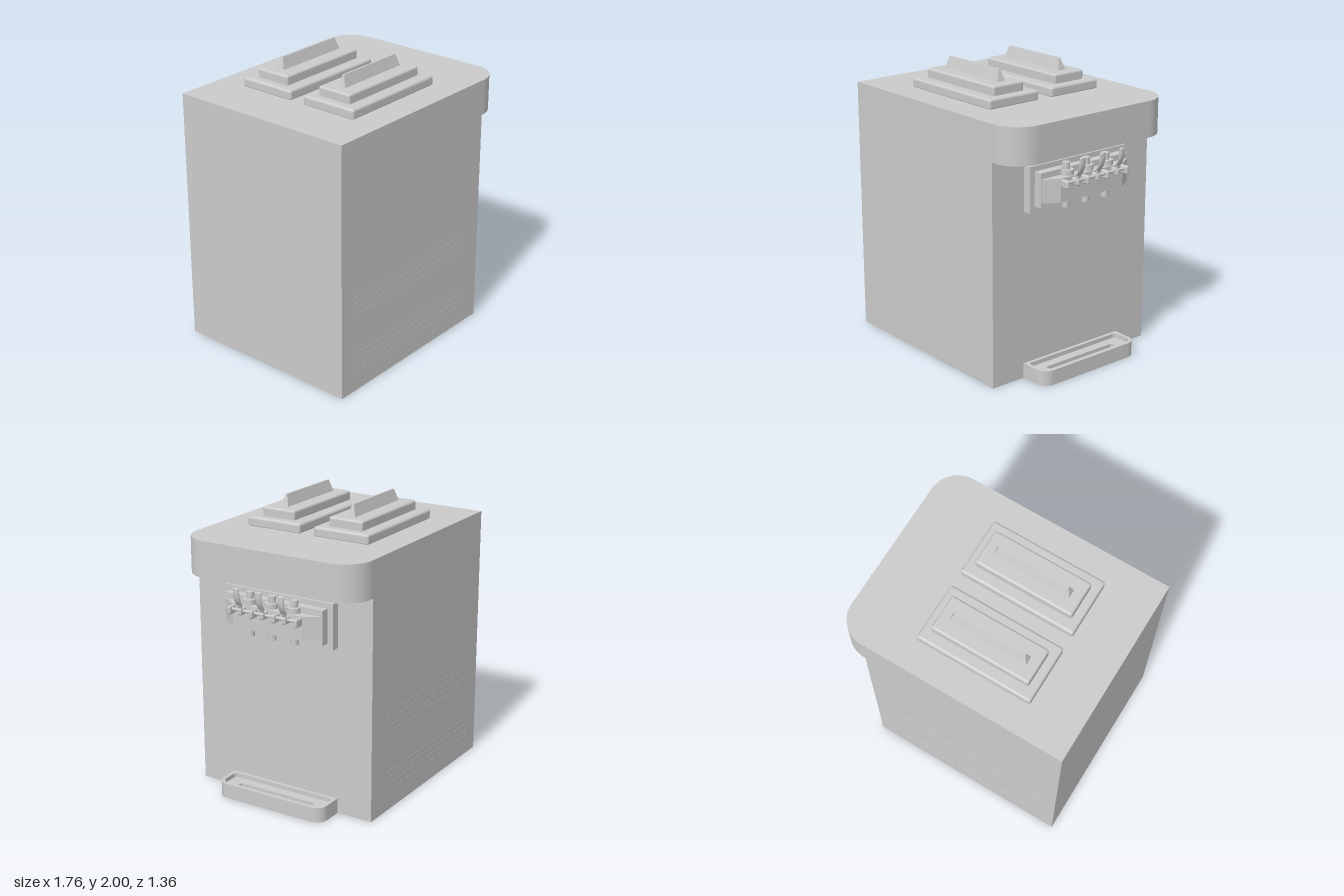
import * as THREE from 'three';
import { RoundedBoxGeometry } from 'three/addons/geometries/RoundedBoxGeometry.js';

const mat = new THREE.MeshStandardMaterial({ color: 0xcccccc });

function add(parent, name, geo, x = 0, y = 0, z = 0) {
  const m = new THREE.Mesh(geo, mat);
  m.name = name;
  m.position.set(x, y, z);
  parent.add(m);
  return m;
}

// Box given by its limits on each axis
function box(parent, name, x0, x1, y0, y1, z0, z1) {
  return add(parent, name, new THREE.BoxGeometry(x1 - x0, y1 - y0, z1 - z0),
    (x0 + x1) / 2, (y0 + y1) / 2, (z0 + z1) / 2);
}

// Plan outline with rounded corners at the +x end, and at the -x end if rBack > 0
function plan(x0, x1, half, r, rBack = 0, C = THREE.Shape) {
  const s = new C();
  s.moveTo(x0 + rBack, -half);
  s.lineTo(x1 - r, -half);
  s.absarc(x1 - r, -half + r, r, -Math.PI / 2, 0);
  s.lineTo(x1, half - r);
  s.absarc(x1 - r, half - r, r, 0, Math.PI / 2);
  s.lineTo(x0 + rBack, half);
  if (rBack) {
    s.absarc(x0 + rBack, half - rBack, rBack, Math.PI / 2, Math.PI);
    s.absarc(x0 + rBack, -half + rBack, rBack, Math.PI, Math.PI * 1.5);
  } else s.lineTo(x0, -half);
  s.closePath();
  return s;
}

// Extrude a plan outline upward from y0 to y1
function slab(parent, name, shape, y0, y1) {
  const g = new THREE.ExtrudeGeometry(shape, { depth: y1 - y0, bevelEnabled: false, curveSegments: 16 });
  g.rotateX(-Math.PI / 2);
  return add(parent, name, g, 0, y0, 0);
}

export function createModel() {
  const model = new THREE.Group();
  model.name = 'softServeMachine';

  // Cabinet and overhanging head
  box(model, 'cabinet', -0.88, 0.59, 0, 1.54, -0.68, 0.68);
  slab(model, 'head', plan(-0.88, 0.8, 0.68, 0.2), 1.54, 1.79);

  // Fine ventilation slits, almost flush with both long sides
  const vents = new THREE.Group();
  vents.name = 'vents';
  model.add(vents);
  for (const side of [-1, 1])
    for (const base of [0.14, 0.56])
      for (let row = 0; row < 4; row++)
        for (let col = 0; col < 5; col++) {
          const x = -0.76 + col * 0.235, y = base + row * 0.046, z = side * 0.68;
          box(vents, 'ventSlit', x, x + 0.215, y, y + 0.006, z - 0.001, z + 0.001);
        }

  // Two hopper lids with tapered grips
  for (const z of [-0.263, 0.263]) {
    const lid = new THREE.Group();
    lid.name = 'hopperLid';
    lid.position.set(-0.105, 0, z);
    model.add(lid);
    add(lid, 'lidBase', new RoundedBoxGeometry(0.835, 0.075, 0.418, 3, 0.018), 0, 1.8175, 0);
    add(lid, 'lidStep', new RoundedBoxGeometry(0.715, 0.08, 0.258, 3, 0.016), 0, 1.88, 0);
    const grip = new THREE.BoxGeometry(0.57, 0.085, 0.064);
    const p = grip.attributes.position;
    for (let i = 0; i < p.count; i++)
      if (p.getY(i) > 0) p.setXYZ(i, p.getX(i) * 0.91, p.getY(i), p.getZ(i) * 0.2);
    grip.computeVertexNormals();
    add(lid, 'lidGrip', grip, 0, 1.9575, 0);
  }

  // Dispenser block: stepped plates and a front with slanted ends
  const tap = new THREE.Group();
  tap.name = 'dispenser';
  model.add(tap);
  box(tap, 'backPlate', 0.58, 0.65, 1.165, 1.475, -0.42, 0.42);
  box(tap, 'middlePlate', 0.64, 0.71, 1.205, 1.44, -0.38, 0.38);
  const nose = new THREE.Shape([[0.7, -0.375], [0.71, -0.375], [0.777, -0.27], [0.777, 0.27],
    [0.71, 0.375], [0.7, 0.375]].map(([x, y]) => new THREE.Vector2(x, y)));
  slab(tap, 'frontBlock', nose, 1.24, 1.4);

  // Hinge rod and its lugs
  add(tap, 'hingeRod', new THREE.CylinderGeometry(0.011, 0.011, 0.54, 12).rotateX(Math.PI / 2), 0.811, 1.375, 0);
  for (const z of [-0.258, -0.086, 0.086, 0.258]) {
    const lug = new THREE.Group();
    lug.name = 'hingeLug';
    tap.add(lug);
    add(lug, 'lugBody', new RoundedBoxGeometry(0.07, 0.058, 0.028, 2, 0.012), 0.806, 1.368, z);
  }

  // Three valves with curved pull levers
  for (const z of [-0.172, 0, 0.172]) {
    const valve = new THREE.Group();
    valve.name = 'valve';
    valve.position.z = z;
    tap.add(valve);
    add(valve, 'plunger', new THREE.CylinderGeometry(0.026, 0.026, 0.3, 20), 0.714, 1.33, 0);
    add(valve, 'collar', new THREE.CylinderGeometry(0.045, 0.045, 0.035, 20), 0.722, 1.417, 0);
    add(valve, 'leverHub', new RoundedBoxGeometry(0.065, 0.05, 0.03, 2, 0.012), 0.81, 1.372, 0);
    const stem = new THREE.LineCurve3(new THREE.Vector3(0.815, 1.375, 0), new THREE.Vector3(0.842, 1.435, 0));
    add(valve, 'leverStem', new THREE.TubeGeometry(stem, 1, 0.012, 10));
    const curve = new THREE.CatmullRomCurve3([[0.834, 1.42], [0.856, 1.455], [0.867, 1.495], [0.868, 1.535]]
      .map(([x, y]) => new THREE.Vector3(x, y, 0)));
    const paddle = new THREE.TubeGeometry(curve, 14, 0.01, 14);
    paddle.scale(1, 1, 2.4);
    paddle.computeVertexNormals();
    add(valve, 'leverPaddle', paddle);
    const tip = add(valve, 'leverTip', new THREE.SphereGeometry(0.01, 14, 10), 0.868, 1.535, 0);
    tip.scale.z = 2.4;
  }

  // Drip tray: rounded rim, sunken floor and a long drain ridge
  const tray = new THREE.Group();
  tray.name = 'dripTray';
  model.add(tray);
  const rim = plan(0.58, 0.8, 0.42, 0.08);
  rim.holes.push(plan(0.615, 0.78, 0.395, 0.06, 0.03, THREE.Path));
  slab(tray, 'trayRim', rim, 0, 0.105);
  const floor = plan(0.6, 0.79, 0.4, 0.06);
  floor.holes.push(plan(0.68, 0.72, 0.3, 0.019, 0.019, THREE.Path));
  slab(tray, 'trayFloor', floor, 0.045, 0.075);
  slab(tray, 'trayBottom', plan(0.6, 0.79, 0.4, 0.06), 0, 0.045);

  return model;
}
